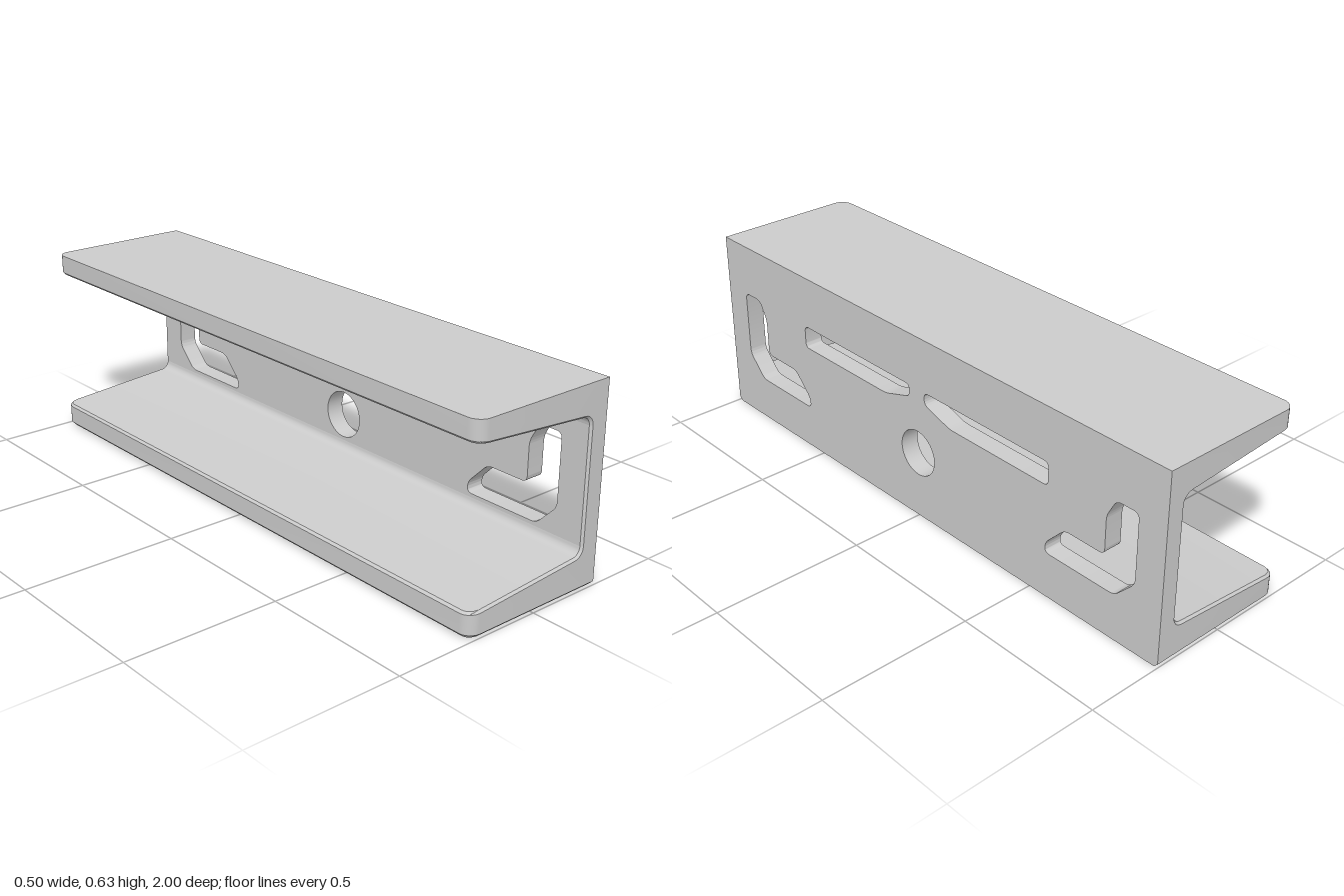
import * as THREE from 'three';
import { toCreasedNormals } from 'three/addons/utils/BufferGeometryUtils.js';

const BACK = 0.25, TIP = -0.25;           // web outer face and flange tip (x)
const WEB = 0.188;                        // web inner face (x)
const PLAN_R = 0.04, LIP = 0.007;         // flange corner radius, inner edge chamfer
const FIL_R = 0.028, FIL_X = WEB - FIL_R, FIL_Y = 0.139; // inner fillet
const MIRROR_Y = 0.64, SLOPE = 0.076;     // flange taper

// x of the flange outline, inset by "inset", at distance d from the end
function outlineX(d, inset) {
  const r = PLAN_R - inset;
  const k = Math.min(Math.max(PLAN_R - d, 0), r);
  return TIP + PLAN_R - Math.sqrt(r * r - k * k);
}

// Flange cross-section at distance d from the end
function flangeSection(d, base, chamfer) {
  const raise = Math.max(0, chamfer - d), lower = Math.max(0, LIP - d);
  const start = -Math.PI / 2 + Math.atan(SLOPE);
  const fillet = [];
  for (let i = 0; i <= 6; i++) {
    const a = start * (1 - i / 6), r = FIL_R + lower;
    fillet.push([FIL_X + r * Math.cos(a), FIL_Y + r * Math.sin(a)]);
  }
  const height = x => fillet[0][1] + SLOPE * (x - fillet[0][0]);
  const outer = outlineX(d, 0), inner = outlineX(d, LIP);
  return [
    [BACK, FIL_Y], [BACK, base + raise],
    [outlineX(d, chamfer), base + raise], [outer, base + chamfer],
    [outer, height(outer) - (LIP - lower)], [inner, height(inner)],
    ...fillet,
  ];
}

// Tapered flange with rounded plan corners, lofted along z
function flange(name, base, chamfer, upper, material) {
  const steps = [0, 0.001, 0.003, 0.007, 0.012, 0.018, 0.026, 0.033, 0.04];
  const stations = [...steps.map(d => [-1 + d, d]), ...steps.map(d => [1 - d, d]).reverse()];
  const positions = [], indices = [];
  let n = 0;
  for (const [z, d] of stations) {
    const section = flangeSection(d, base, chamfer);
    n = section.length;
    for (const [x, y] of section) positions.push(x, upper ? MIRROR_Y - y : y, z);
  }
  const face = (a, b, c) => indices.push(...(upper ? [a, c, b] : [a, b, c]));
  for (let s = 0; s < stations.length - 1; s++) {
    for (let i = 0; i < n - 1; i++) {
      const a = s * n + i, b = a + 1, c = b + n, e = a + n;
      face(a, c, b);
      face(a, e, c);
    }
  }
  // End caps, fanned from the outer corner
  const last = (stations.length - 1) * n;
  for (let i = 2; i <= n; i++) {
    const j = i === n ? 0 : (i + 1) % n;
    if (i === n) continue;
    face(1, i, j);
    face(last + 1, last + j, last + i);
  }
  const geometry = new THREE.BufferGeometry();
  geometry.setAttribute('position', new THREE.Float32BufferAttribute(positions, 3));
  geometry.setIndex(indices);
  const mesh = new THREE.Mesh(toCreasedNormals(geometry, 0.35), material);
  mesh.name = name;
  return mesh;
}

// Closed outline with rounded corners
function roundedPath(points, radius) {
  const path = new THREE.Path();
  const v = points.map(p => new THREE.Vector2(...p));
  v.forEach((p, i) => {
    const prev = v[(i + v.length - 1) % v.length], next = v[(i + 1) % v.length];
    const toward = q => {
      const dir = q.clone().sub(p);
      return p.clone().addScaledVector(dir, Math.min(radius / dir.length(), 0.45));
    };
    const a = toward(prev), b = toward(next);
    if (i) path.lineTo(a.x, a.y); else path.moveTo(a.x, a.y);
    path.quadraticCurveTo(p.x, p.y, b.x, b.y);
  });
  path.closePath();
  return path;
}

// Web plate with a round hole, two slots and two angled cut-outs
function web(material) {
  const top = MIRROR_Y - FIL_Y;
  const shape = new THREE.Shape([[-1, FIL_Y], [1, FIL_Y], [1, top], [-1, top]]
    .map(p => new THREE.Vector2(...p)));
  const slot = [[0.565, 0.452], [0.565, 0.376], [0.15, 0.376], [0.035, 0.412], [0.035, 0.452]];
  const angled = [[0.902, 0.452], [0.902, 0.225], [0.83, 0.151], [0.56, 0.151], [0.56, 0.185],
    [0.635, 0.262], [0.788, 0.262], [0.788, 0.39], [0.822, 0.452]];
  for (const side of [-1, 1]) {
    shape.holes.push(roundedPath(slot.map(([z, y]) => [side * z, y]), 0.018));
    shape.holes.push(roundedPath(angled.map(([z, y]) => [side * z, y]), 0.02));
  }
  shape.holes.push(new THREE.Path().absarc(0, 0.227, 0.077, 0, Math.PI * 2, false));

  const geometry = new THREE.ExtrudeGeometry(shape, {
    depth: BACK - WEB, steps: 9, curveSegments: 16, bevelEnabled: false,
  });
  geometry.rotateY(Math.PI / 2).translate(WEB, 0, 0);
  // Chamfer the two end edges of the inner face
  const pos = geometry.attributes.position;
  for (let i = 0; i < pos.count; i++) {
    const z = pos.getZ(i);
    if (Math.abs(z) > 0.99 && pos.getX(i) < WEB + 0.001) pos.setZ(i, Math.sign(z) * (1 - LIP));
  }
  const mesh = new THREE.Mesh(toCreasedNormals(geometry, 0.5), material);
  mesh.name = 'webPlate';
  return mesh;
}

export function createModel() {
  const material = new THREE.MeshStandardMaterial({ color: 0xcccccc });
  const group = new THREE.Group();
  group.name = 'channelBracket';
  group.add(
    flange('lowerFlange', 0, 0.0125, false, material),
    flange('upperFlange', 0.0127, 0, true, material),
    web(material),
  );
  return group;
}
